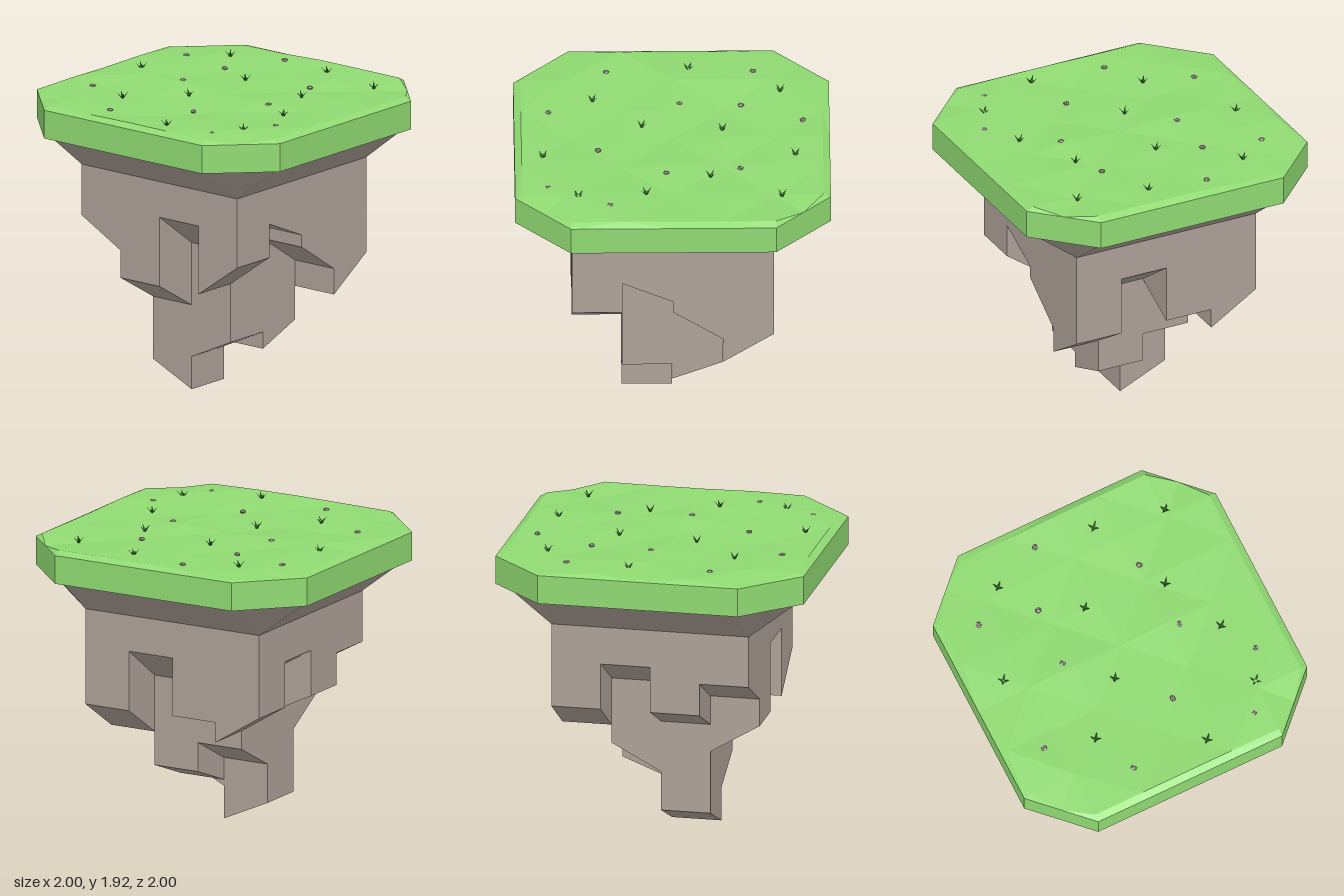
import * as THREE from 'three';

const CELL = 0.32, BASE = 1.435, SLAB = 1.68, RIM = 1.865;

const material = (color, extra = {}) => new THREE.MeshStandardMaterial({ color, flatShading: true, ...extra });

function add(parent, name, geometry, mat) {
  const mesh = new THREE.Mesh(geometry, mat);
  mesh.name = name;
  parent.add(mesh);
  return mesh;
}

function fromPoints(p) {
  const g = new THREE.BufferGeometry();
  g.setAttribute('position', new THREE.Float32BufferAttribute(p, 3));
  g.computeVertexNormals();
  return g;
}

// Eight-sided outline: straight sides at +-r, cut corners starting at +-c
const octagon = (r, c) => [[c, r], [r, c], [r, -c], [c, -r], [-c, -r], [-r, -c], [-r, c], [-c, r]];

// Skin between two outlines of equal length, closed below
function loft(top, yTop, bottom, yBottom) {
  const p = [], n = top.length;
  for (let i = 0; i < n; i++) {
    const j = (i + 1) % n;
    const a = [top[i][0], yTop, top[i][1]], b = [top[j][0], yTop, top[j][1]];
    const c = [bottom[i][0], yBottom, bottom[i][1]], d = [bottom[j][0], yBottom, bottom[j][1]];
    p.push(...a, ...c, ...d, ...a, ...d, ...b, 0, yBottom, 0, ...d, ...c);
  }
  return fromPoints(p);
}

// Square column whose underside slopes along one axis from lo (negative side) to hi
function column(ix, iz, axis, lo, hi) {
  const g = new THREE.BoxGeometry(CELL, 1, CELL);
  const pos = g.attributes.position;
  for (let i = 0; i < pos.count; i++) {
    const side = axis === 'x' ? pos.getX(i) : pos.getZ(i);
    pos.setY(i, pos.getY(i) > 0 ? BASE : side < 0 ? lo : hi);
  }
  g.translate((ix - 1.5) * CELL, 0, (iz - 1.5) * CELL);
  g.computeVertexNormals();
  return g;
}

// Repeatable value from 0 to 1 for a pair of numbers
function noise(i, j) {
  const s = Math.sin(i * 12.9898 + j * 78.233 + 4) * 43758.5453;
  return s - Math.floor(s);
}

// Faceted turf surface with cut corners
function turfTop() {
  const line = [-1, -0.955, -0.65, -0.32, 0, 0.32, 0.65, 0.955, 1];
  const last = line.length - 1, limit = 1.65;
  const point = (i, j) => {
    const x = line[i], z = line[j], sum = Math.abs(x) + Math.abs(z);
    const k = Math.min(1, limit / sum);
    const edge = i % last === 0 || j % last === 0 || k < 1;
    return [x * k, edge ? RIM : RIM + 0.003 + 0.025 * noise(i, j), z * k];
  };
  const p = [];
  for (let i = 0; i < last; i++) for (let j = 0; j < last; j++) {
    const a = point(i, j), b = point(i, j + 1), c = point(i + 1, j + 1), d = point(i + 1, j);
    if ((i + j) % 2) p.push(...a, ...b, ...d, ...b, ...c, ...d);
    else p.push(...a, ...b, ...c, ...a, ...c, ...d);
  }
  return fromPoints(p);
}

// Underside of each column, by x row (left to right) and z (back to front)
const UNDERSIDES = [
  [['x', 0.89, 0.69], ['x', 1.19, 1.0], ['x', 0.89, 0.735], ['x', 1.1, 0.925]],
  [['z', 0.82, 0.96], ['z', 0.57, 0.4], ['x', 0.145, 0], ['z', 0.555, 0.745]],
  [['z', 1.2, 0.97], ['z', 0.38, 0.255], ['x', 0.215, 0.365], ['z', 0.965, 1.2]],
  [['z', 0.81, 0.6], ['z', 0.77, 0.98], ['z', 1.06, 1.2], ['x', 0.75, 0.98]],
];

const TUFTS = [[-0.52, -0.69], [0.2, -0.78], [0.66, -0.69], [-0.09, -0.32], [0.44, -0.24], [-0.77, -0.11],
  [-0.13, 0.19], [0.63, 0.17], [-0.42, 0.5], [0.66, 0.6], [0.21, 0.82]];

const PEBBLES = [[-0.19, -0.83], [-0.74, -0.52], [-0.36, -0.44], [0.35, -0.43], [-0.38, -0.05], [0.4, -(-0.04)],
  [-0.74, 0.41], [0.14, 0.47], [0.76, 0.4], [-0.29, 0.78], [0.56, 0.79]];

export function createModel() {
  const model = new THREE.Group();
  model.name = 'floatingIsland';
  const grass = material(0x90da72);
  const rock = material(0xaea198);
  const leafGreen = material(0x3f8f2c, { side: THREE.DoubleSide });
  const pebbleGrey = material(0xa0928f);

  // Turf plate
  const turf = new THREE.Group();
  turf.name = 'turf';
  model.add(turf);
  const rim = octagon(1, 0.65);
  add(turf, 'turfRim', loft(rim, RIM, rim, SLAB), grass);
  add(turf, 'turfSurface', turfTop(), grass);

  // Rock flare narrowing from the cut-cornered turf to a square base
  const flareTop = octagon(0.96, 0.62);
  const square = flareTop.map(([x, z]) => [Math.sign(x) * 2 * CELL, Math.sign(z) * 2 * CELL]);
  add(model, 'rockFlare', loft(flareTop, SLAB, square, BASE), rock);

  // Hanging rock columns
  const columns = new THREE.Group();
  columns.name = 'rockColumns';
  model.add(columns);
  UNDERSIDES.forEach((row, ix) => row.forEach((underside, iz) => {
    add(columns, 'rockColumn', column(ix, iz, ...underside), rock);
  }));

  // Grass tufts: four flat leaves leaning outwards
  const leaf = new THREE.ConeGeometry(0.01, 0.055, 4);
  leaf.scale(1, 1, 0.4).translate(0, 0.0275, 0).rotateX(0.75);
  TUFTS.forEach(([x, z], i) => {
    const tuft = new THREE.Group();
    tuft.name = 'grassTuft';
    tuft.position.set(x, 1.878, z);
    tuft.rotation.y = 0.4 * noise(i, 1) - 0.2;
    for (let k = 0; k < 4; k++) add(tuft, 'leaf', leaf, leafGreen).rotation.y = (k + 0.5) * Math.PI / 2;
    model.add(tuft);
  });

  // Pebbles
  const stone = new THREE.DodecahedronGeometry(0.02);
  stone.scale(1, 0.6, 1);
  PEBBLES.forEach(([x, z], i) => {
    const pebble = add(model, 'pebble', stone, pebbleGrey);
    pebble.position.set(x, 1.885, z);
    pebble.rotation.y = 6 * noise(i, 2);
  });

  return model;
}
